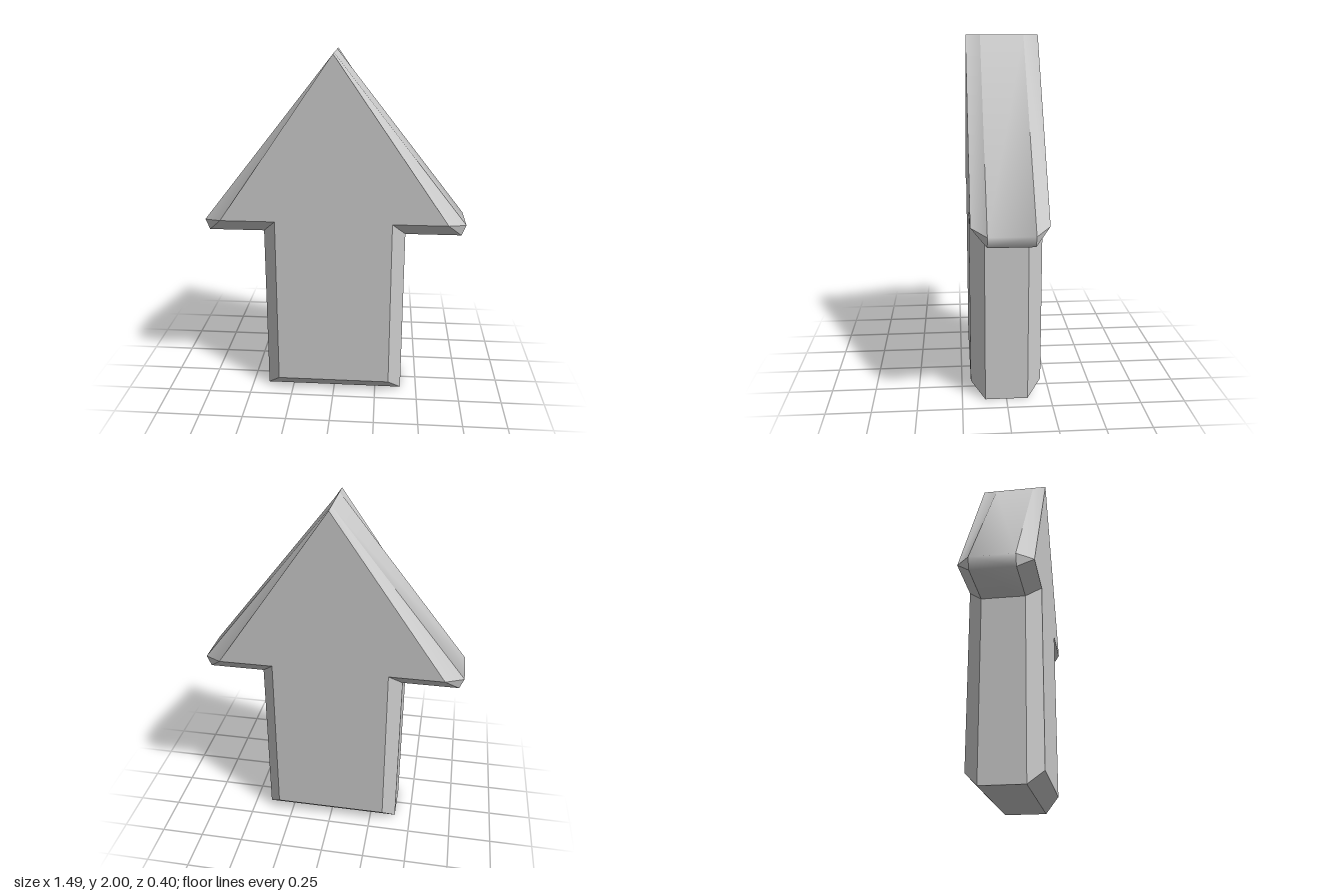
import * as THREE from 'three';
import { mergeGeometries, toCreasedNormals } from 'three/addons/utils/BufferGeometryUtils.js';

const SIDE_Z = 0.12, FACE_Z = 0.2;

// Right half from the foot up to the tip, mirrored to a counter-clockwise loop
function outline(half) {
  const left = half.slice(0, -1).reverse().map(([x, y]) => [-x, y]);
  return [...half, ...left];
}
const rim = outline([[0.405, 0], [0.405, 1], [0.72, 1], [0.745, 1.06], [0, 2]]);
const face = outline([[0.33, 0.08], [0.33, 1.08], [0.64, 1.08], [0.64, 1.08], [0, 2]]);

// Strip joining edge i of two loops, split on a mirrored diagonal
function strip(loopA, zA, loopB, zB, i) {
  const j = (i + 1) % loopA.length;
  const a = [...loopA[i], zA], b = [...loopA[j], zA];
  const c = [...loopB[j], zB], d = [...loopB[i], zB];
  const collapsed = c.join() === d.join();
  let tris = i < 4 ? [a, b, d, b, c, d] : [a, b, c, a, c, d];
  if (collapsed) tris = [a, b, c];
  const g = new THREE.BufferGeometry();
  g.setAttribute('position', new THREE.Float32BufferAttribute(tris.flat(), 3));
  g.computeVertexNormals();
  return g;
}

export function createModel() {
  const group = new THREE.Group();
  group.name = 'upArrow';
  const material = new THREE.MeshStandardMaterial({ color: 0xcccccc });
  const add = (name, geometry, turn = 0) => {
    const mesh = new THREE.Mesh(geometry, material);
    mesh.name = name;
    mesh.rotation.y = turn;
    group.add(mesh);
  };

  // Straight side wall, softened around the barbs of the head
  const walls = rim.map((_, i) => strip(rim, -SIDE_Z, rim, SIDE_Z, i));
  add('sideWall', toCreasedNormals(mergeGeometries(walls), THREE.MathUtils.degToRad(70)));

  // Bevel: each strip is smooth in itself, crisp against its neighbours
  const bevel = mergeGeometries(rim.map((_, i) =>
    toCreasedNormals(strip(rim, SIDE_Z, face, FACE_Z, i), 1)));

  // Flat arrow face, without the doubled barb points
  const points = face.filter((p, i) => i === 0 || p.join() !== face[i - 1].join());
  const plate = new THREE.ShapeGeometry(
    new THREE.Shape(points.map(([x, y]) => new THREE.Vector2(x, y))));
  plate.translate(0, 0, FACE_Z);

  // Front and back are the same, turned half a circle
  for (const [side, turn] of [['front', 0], ['back', Math.PI]]) {
    add(side + 'Bevel', bevel, turn);
    add(side + 'Face', plate, turn);
  }
  return group;
}
